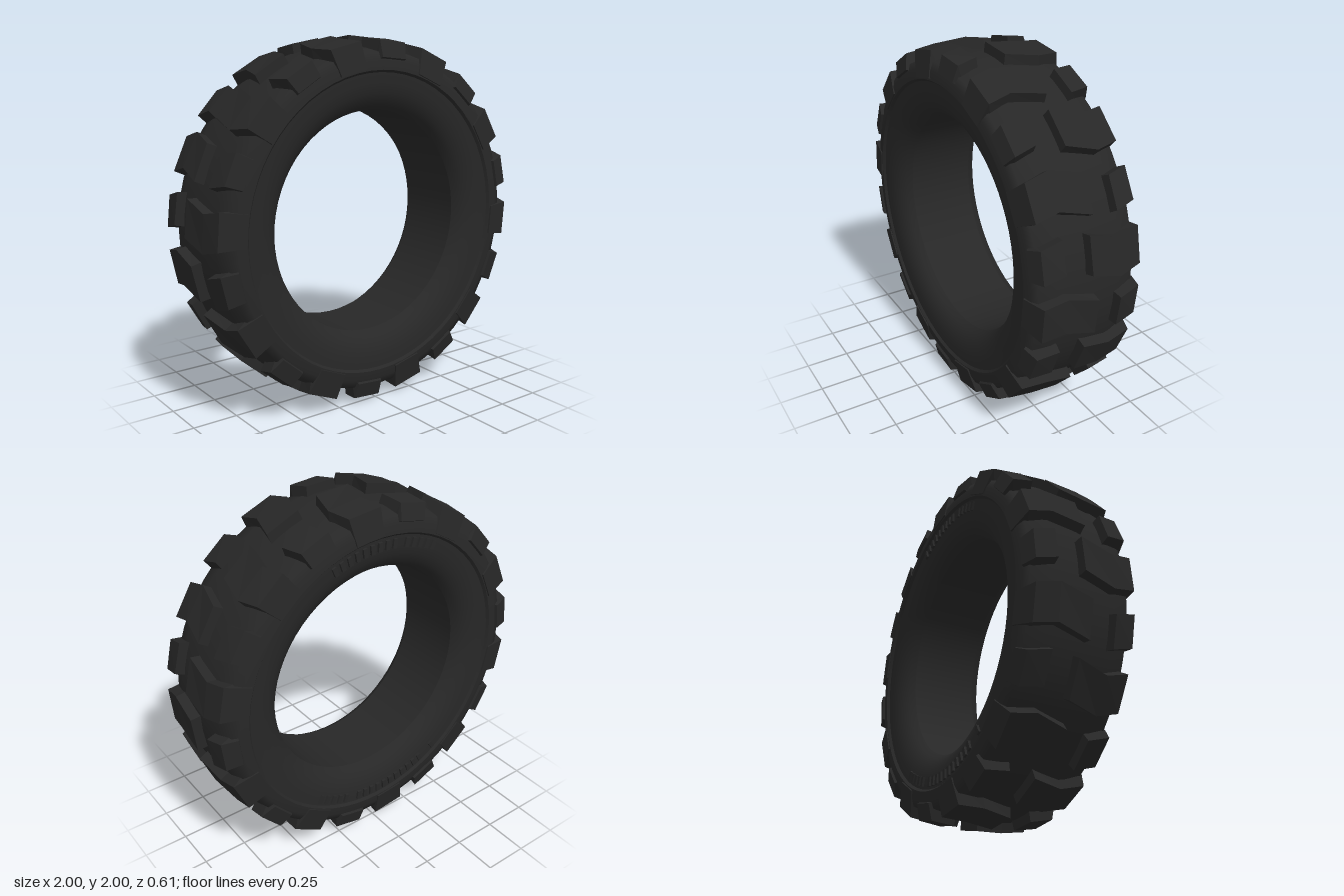
import * as THREE from 'three';

const rubber = new THREE.MeshStandardMaterial({ color: 0x272727 });
rubber.name = 'black rubber';
const rad = THREE.MathUtils.degToRad;

// Surface of revolution about the z axis from [radius, z] points
function ring(name, profile) {
  const geo = new THREE.LatheGeometry(profile.map(([r, z]) => new THREE.Vector2(r, z)), 64);
  geo.rotateX(Math.PI / 2);
  const mesh = new THREE.Mesh(geo, rubber);
  mesh.name = name;
  return mesh;
}

// Tread lug: each station gives [topZ, topRadius, baseZ, baseRadius, skew in degrees]
function lugGeometry(stations, topHalf, baseHalf) {
  const pos = [], index = [];
  const put = (r, deg, z) => pos.push(r * Math.cos(rad(deg)), r * Math.sin(rad(deg)), z);
  for (const [tz, tr, bz, br, skew] of stations) {
    put(br, skew - baseHalf, bz);
    put(tr, skew - topHalf, tz);
    put(tr, skew + topHalf, tz);
    put(br, skew + baseHalf, bz);
  }
  for (let s = 0; s < stations.length - 1; s++) {
    for (let k = 0; k < 4; k++) {
      const a = s * 4 + k, b = s * 4 + (k + 1) % 4;
      index.push(a, b, b + 4, a, b + 4, a + 4);
    }
  }
  const e = (stations.length - 1) * 4;
  index.push(0, 2, 1, 0, 3, 2, e, e + 1, e + 2, e, e + 2, e + 3);
  const indexed = new THREE.BufferGeometry();
  indexed.setAttribute('position', new THREE.Float32BufferAttribute(pos, 3));
  indexed.setIndex(index);
  const geo = indexed.toNonIndexed();
  geo.computeVertexNormals();
  return geo;
}

export function createModel() {
  const model = new THREE.Group();
  model.name = 'tire';
  const tire = new THREE.Group();
  tire.name = 'tireBody';
  tire.position.y = 1;
  model.add(tire);

  // Carcass: tread band, two rounded sidewalls and the bore
  const half = [[0.82, 0.296], [0.87, 0.29], [0.912, 0.272], [0.935, 0.18]];
  tire.add(ring('treadBand', [
    ...half.map(([r, z]) => [r, -z]), [0.945, 0], ...half.slice().reverse(),
  ]));
  const wall = [[0.808, 0.282], [0.75, 0.28], [0.7, 0.269], [0.66, 0.25], [0.63, 0.224], [0.61, 0.192]];
  tire.add(ring('frontSidewall', wall));
  tire.add(ring('backSidewall', wall.slice().reverse().map(([r, z]) => [r, -z])));
  tire.add(ring('frontShoulderStep', [[0.82, 0.296], [0.808, 0.282]]));
  tire.add(ring('backShoulderStep', [[0.808, -0.282], [0.82, -0.296]]));
  tire.add(ring('bore', [[0.61, 0.192], [0.61, -0.192]]));

  // Long bent lugs alternate with short shoulder lugs
  const longLug = lugGeometry([
    [-0.02, 0.999, -0.025, 0.925, -1.3],
    [0.15, 0.99, 0.15, 0.915, 1.6],
    [0.275, 0.973, 0.25, 0.89, 0],
    [0.303, 0.83, 0.27, 0.825, -0.2],
  ], 5.7, 6.3);
  const shortLug = lugGeometry([
    [0.16, 0.988, 0.15, 0.915, 1.6],
    [0.275, 0.972, 0.25, 0.89, 0],
    [0.3, 0.885, 0.27, 0.87, 0],
  ], 5, 5.7);

  // The back row is the front row turned over and shifted round
  for (const [side, start] of [['front', -4.8], ['back', -12]]) {
    const row = new THREE.Group();
    row.name = side + 'Lugs';
    for (let i = 0; i < 20; i++) {
      const lug = new THREE.Mesh(i % 2 ? shortLug : longLug, rubber);
      lug.name = i % 2 ? 'shortLug' : 'longLug';
      lug.rotation.z = rad(start + 18 * i);
      row.add(lug);
    }
    if (side === 'back') row.rotation.x = Math.PI;
    tire.add(row);
  }

  // Plain raised ribs in groups on the back sidewall: [first angle, count]
  const ribs = new THREE.Group();
  ribs.name = 'sidewallRibs';
  const ribGeo = new THREE.BoxGeometry(0.05, 0.024, 0.02);
  for (const [first, count] of [[68, 9], [102, 5], [-73, 5], [-115, 11], [-123, 1]]) {
    for (let i = 0; i < count; i++) {
      const a = rad(first + i * 3.5);
      const rib = new THREE.Mesh(ribGeo, rubber);
      rib.name = 'rib';
      rib.position.set(0.768 * Math.cos(a), 0.768 * Math.sin(a), -0.283);
      rib.rotation.z = a;
      ribs.add(rib);
    }
  }
  tire.add(ribs);
  return model;
}
